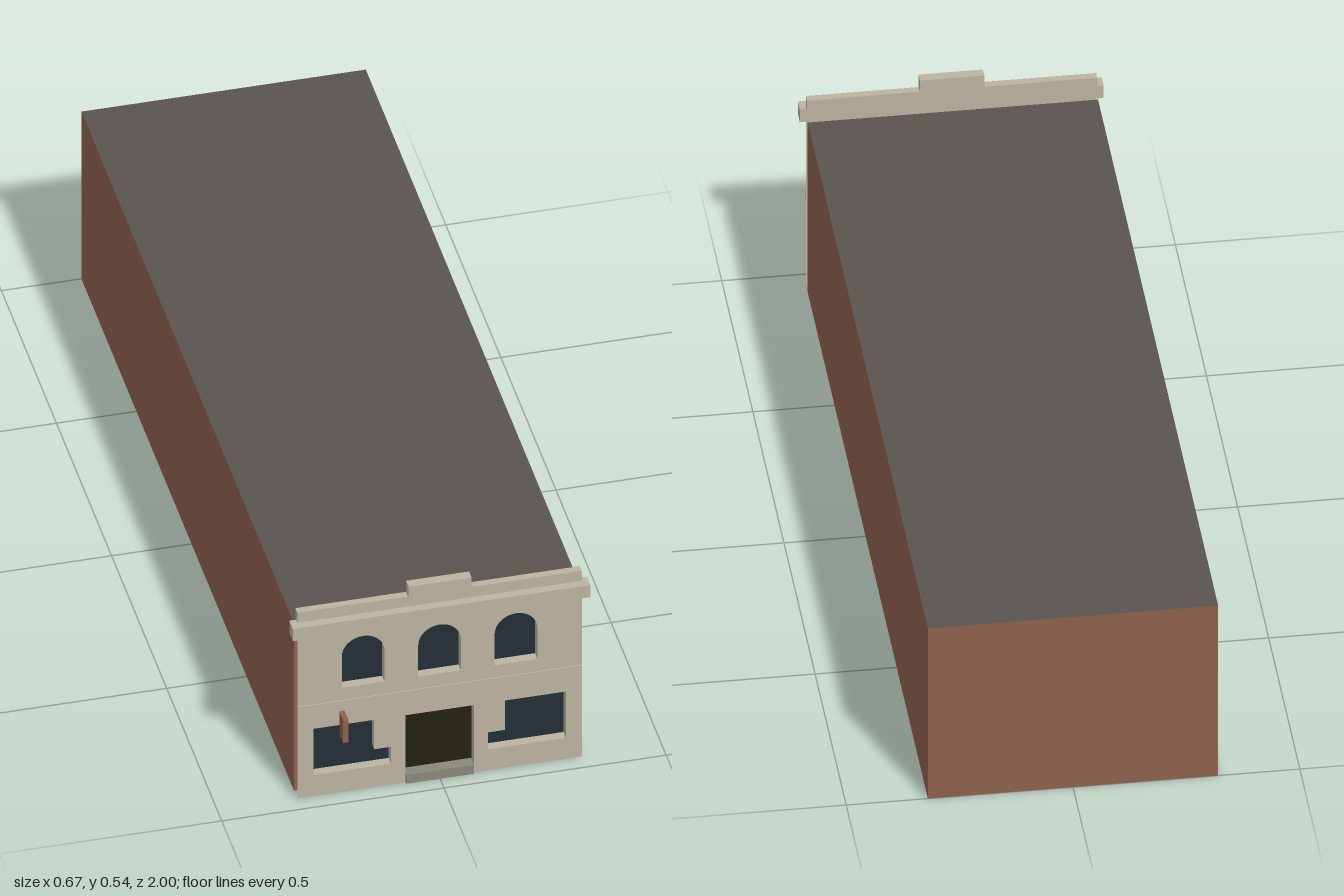
import * as THREE from 'three';

const material = (name, color, side = THREE.FrontSide) => {
  const m = new THREE.MeshStandardMaterial({ color, side });
  m.name = name;
  return m;
};

// Closed outline (Vector2 list) swept back from z0 to z1 as an open tube of flat quads
function revealGeometry(points, z0, z1) {
  const pos = [];
  points.forEach((a, i) => {
    const b = points[(i + 1) % points.length];
    if (a.distanceTo(b) < 1e-6) return;
    pos.push(a.x, a.y, z0, b.x, b.y, z0, b.x, b.y, z1);
    pos.push(a.x, a.y, z0, b.x, b.y, z1, a.x, a.y, z1);
  });
  const g = new THREE.BufferGeometry();
  g.setAttribute('position', new THREE.Float32BufferAttribute(pos, 3));
  g.computeVertexNormals();
  return g;
}

const polygon = (pts) => new THREE.Shape(pts.map(([x, y]) => new THREE.Vector2(x, y)));

// Round-headed window outline
function archShape(cx) {
  const r = 0.048, s = new THREE.Shape();
  s.moveTo(cx - r, 0.283);
  s.lineTo(cx + r, 0.283);
  s.lineTo(cx + r, 0.368);
  s.absarc(cx, 0.368, r, 0, Math.PI, false);
  s.closePath();
  return s;
}

// Stepped shop window outline; side is +1 or -1
const shopShape = (side) => polygon([
  [0.109, 0.057], [0.284, 0.057], [0.284, 0.183],
  [0.147, 0.183], [0.147, 0.103], [0.109, 0.103],
].map(([x, y]) => [x * side, y]));

export function createModel() {
  const model = new THREE.Group();
  model.name = 'shopBuilding';

  const stone = material('stone', 0xbcb4a1, THREE.DoubleSide);
  const brick = material('brick', 0x8e624e, THREE.DoubleSide);
  const roofing = material('roofing', 0x59544f, THREE.DoubleSide);
  const glass = material('glass', 0x232e36, THREE.DoubleSide);
  const doorPaint = material('doorPaint', 0x23210f, THREE.DoubleSide);
  const concrete = material('concrete', 0x8a877c);

  const add = (name, geometry, mat, parent = model) => {
    const mesh = new THREE.Mesh(geometry, mat);
    mesh.name = name;
    parent.add(mesh);
    return mesh;
  };
  // Box given by its limits on each axis
  const box = (name, mat, [x0, x1], [y0, y1], [z0, z1]) =>
    add(name, new THREE.BoxGeometry(x1 - x0, y1 - y0, z1 - z0)
      .translate((x0 + x1) / 2, (y0 + y1) / 2, (z0 + z1) / 2), mat);

  // Long hall: four walls and a flat roof, open underneath
  const hall = new THREE.BoxGeometry(0.64, 0.455, 1.93).translate(0, 0.2275, -0.035);
  const faces = Array.from(hall.index.array);
  const walls = hall.clone(), roof = hall.clone();
  walls.setIndex([...faces.slice(0, 12), ...faces.slice(24)]);
  roof.setIndex(faces.slice(12, 18));
  [walls, roof].forEach((g) => g.clearGroups());
  add('walls', walls, brick);
  add('roof', roof, roofing);

  // Front sheet with a notch for the doorway and holes for the windows
  const front = 0.96, back = 0.938;
  const facade = polygon([
    [-0.32, 0], [-0.077, 0], [-0.077, 0.183], [0.077, 0.183],
    [0.077, 0], [0.32, 0], [0.32, 0.505], [-0.32, 0.505],
  ]);
  const windows = [
    ...[-0.172, 0, 0.172].map((x) => ['archedWindow', archShape(x)]),
    ...[-1, 1].map((s) => ['shopWindow', shopShape(s)]),
  ];
  windows.forEach(([, s]) => facade.holes.push(s));
  add('facade', new THREE.ShapeGeometry(facade, 12).translate(0, 0, front), stone);

  // Panes and doorway set back behind stone reveals
  const door = polygon([[-0.077, 0], [0.077, 0], [0.077, 0.183], [-0.077, 0.183]]);
  const openings = [...windows.map((w) => [...w, glass]), ['door', door, doorPaint]];
  openings.forEach(([name, shape, mat]) => {
    const group = new THREE.Group();
    group.name = name;
    model.add(group);
    add(name + 'Reveal', revealGeometry(shape.getPoints(12), front, back), stone, group);
    add(name + 'Panel', new THREE.ShapeGeometry(shape, 12).translate(0, 0, back), mat, group);
  });

  // Mouldings and parapet
  box('stringCourse', stone, [-0.32, 0.32], [0.23, 0.25], [0.96, 0.963]);
  box('cornice', stone, [-0.335, 0.335], [0.445, 0.478], [0.948, 0.98]);
  box('parapet', stone, [-0.32, 0.32], [0.478, 0.505], [0.942, 0.9595]);
  box('parapetCrest', stone, [-0.071, 0.071], [0.505, 0.535], [0.942, 0.965]);

  // Door step, its inner upright, and the hanging sign board
  box('doorStep', concrete, [-0.076, 0.076], [0, 0.024], [0.9, 0.965]);
  box('stepUpright', concrete, [-0.04, 0.04], [0.024, 0.13], [0.915, 0.929]);
  box('hangingBoard', brick, [-0.227, -0.215], [0.163, 0.225], [0.966, 1]);

  return model;
}
